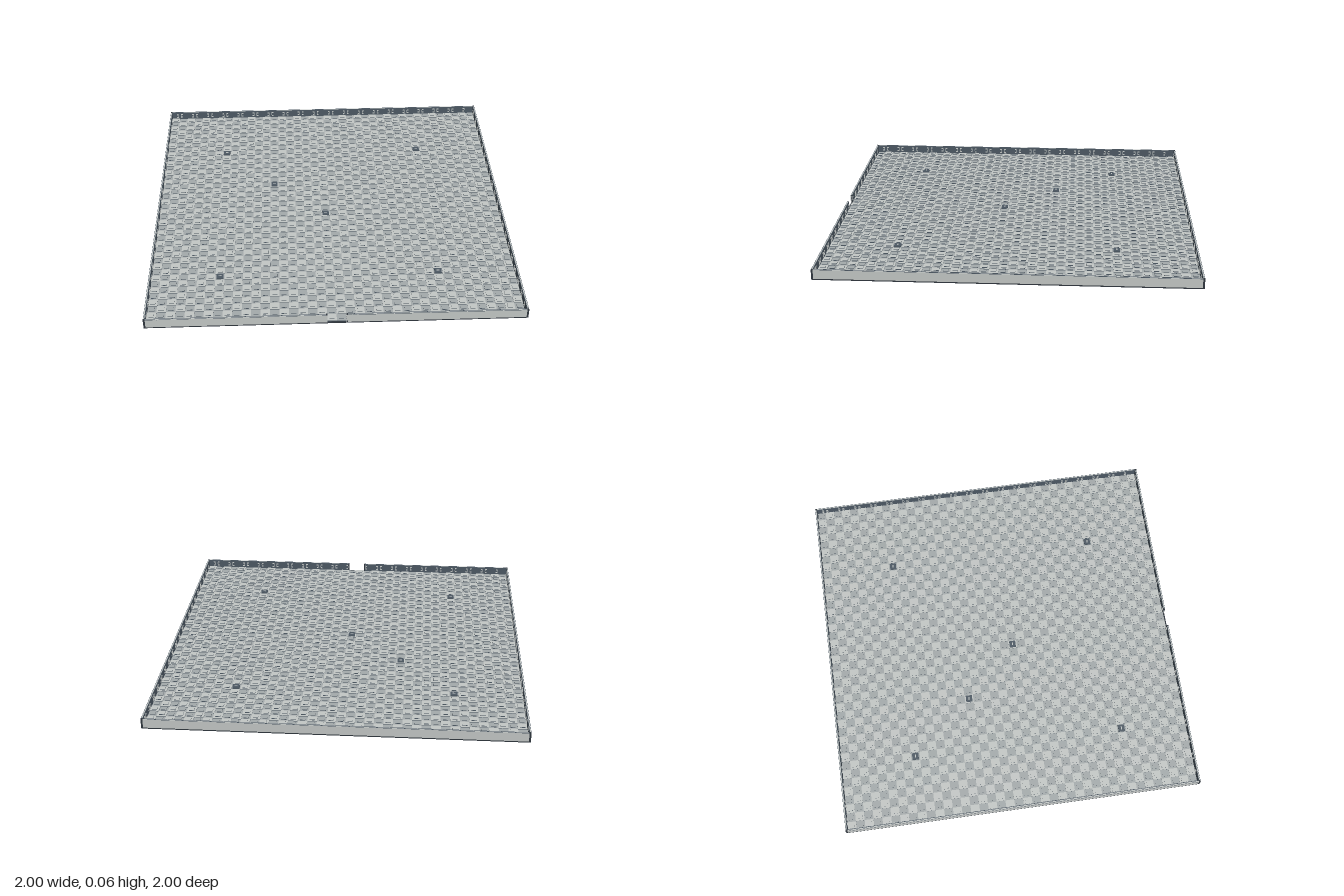
import * as THREE from 'three';
import { mergeGeometries } from 'three/addons/utils/BufferGeometryUtils.js';

const N = 40, TILE = 0.0496, HALF = N * TILE / 2;
const WALL_TOP = 0.056, BASE = 0.006, GAP = 0.05;

function material(name, color) {
  const m = new THREE.MeshStandardMaterial({ color });
  m.name = name;
  return m;
}

// Box given by its centre in x and z and its bottom and top heights
function block(x, z, w, d, y0, y1) {
  return new THREE.BoxGeometry(w, y1 - y0, d).translate(x, (y0 + y1) / 2, z);
}

// Horizontal face looking up
function cap(x, z, size, y) {
  return new THREE.PlaneGeometry(size, size).rotateX(-Math.PI / 2).translate(x, y, z);
}

const centre = i => (i + 0.5) * TILE - HALF;

export function createModel() {
  const model = new THREE.Group();
  const light = material('pale stone', 0xc4c8c6);
  const grey = material('grey stone', 0xa5abac);
  const slate = material('slate', 0x4d5964);
  const dark = material('dark base', 0x2f363e);

  function add(name, parts, mat, parent = model) {
    const mesh = new THREE.Mesh(mergeGeometries(parts), mat);
    mesh.name = name;
    parent.add(mesh);
    return mesh;
  }

  // Base plate
  add('basePlate', [block(0, 0, 2, 2, 0, BASE)], dark);

  // Chequered floor: each tile has a small stud, both with slate sides
  const lamps = [[7, 8], [31, 8], [13, 15], [19, 21], [7, 32], [31, 32]];
  const pale = [], mid = [], sides = [];
  for (let i = 0; i < N; i++) {
    for (let j = 0; j < N; j++) {
      const even = (i + j) % 2 === 0;
      const x = centre(i), z = centre(j), top = even ? 0.0115 : 0.0085;
      const tops = even ? pale : mid;
      sides.push(block(x, z, TILE, TILE, BASE, top));
      tops.push(cap(x, z, TILE, top + 0.0004));
      if (lamps.some(([a, b]) => a === i && b === j)) continue;
      sides.push(block(x, z, 0.027, 0.027, top, top + 0.004));
      tops.push(cap(x, z, 0.027, top + 0.0044));
    }
  }
  add('tileSides', sides, slate);
  add('paleTiles', pale, light);
  add('greyTiles', mid, grey);

  // Floor hatches with a pale slot
  const hatches = [], slots = [];
  for (const [i, j] of lamps) {
    const x = centre(i), z = centre(j);
    hatches.push(block(x, z, 0.038, 0.036, BASE, 0.018));
    slots.push(block(x, z, 0.016, 0.006, 0.018, 0.0195));
  }
  add('hatches', hatches, slate);
  add('hatchSlots', slots, light);

  // One wall running along x from a to b, with its outer face at z = 1
  function wall(name, spans, angle) {
    const group = new THREE.Group();
    group.name = name;
    group.rotation.y = angle;
    const skins = [], linings = [], ribs = [];
    for (const [a, b] of spans) {
      const x = (a + b) / 2, w = b - a;
      skins.push(block(x, 0.9965, w, 0.007, BASE, WALL_TOP - 0.001));
      linings.push(block(x, 0.9915, w, 0.003, BASE, WALL_TOP));
      linings.push(block(x, 0.9993, w, 0.0014, WALL_TOP - 0.002, WALL_TOP));
    }
    // Paired pale ribs on the inner face
    for (let k = -10; k <= 9; k++) {
      for (const s of [-1, 1]) {
        const x = (k + 0.5) * 2 * TILE + TILE + s * 0.036;
        if (!spans.some(([a, b]) => x > a + 0.01 && x < b - 0.01)) continue;
        ribs.push(block(x, 0.9885, 0.012, 0.003, 0.02, 0.026));
        ribs.push(block(x, 0.9885, 0.012, 0.003, 0.04, 0.046));
        ribs.push(block(x + s * 0.005, 0.9885, 0.003, 0.003, 0.026, 0.04));
      }
    }
    add('wallSkin', skins, light, group);
    add('wallLining', linings, slate, group);
    add('wallRibs', ribs, light, group);
    model.add(group);
  }
  const E = 0.99;
  wall('frontWall', [[-E, -GAP], [GAP, E]], 0);
  wall('rightWall', [[-E, E]], -Math.PI / 2);
  wall('backWall', [[-E, E]], Math.PI);
  wall('leftWall', [[-E, E]], Math.PI / 2);

  // Corner posts and gate jambs
  const posts = [];
  for (const sx of [-1, 1]) {
    for (const sz of [-1, 1]) {
      posts.push(block(sx * 0.995, sz * 0.995, 0.01, 0.01, BASE, WALL_TOP + 0.001));
    }
    posts.push(block(sx * (GAP + 0.003), 0.9945, 0.006, 0.011, BASE, WALL_TOP + 0.001));
  }
  add('posts', posts, dark);

  return model;
}
